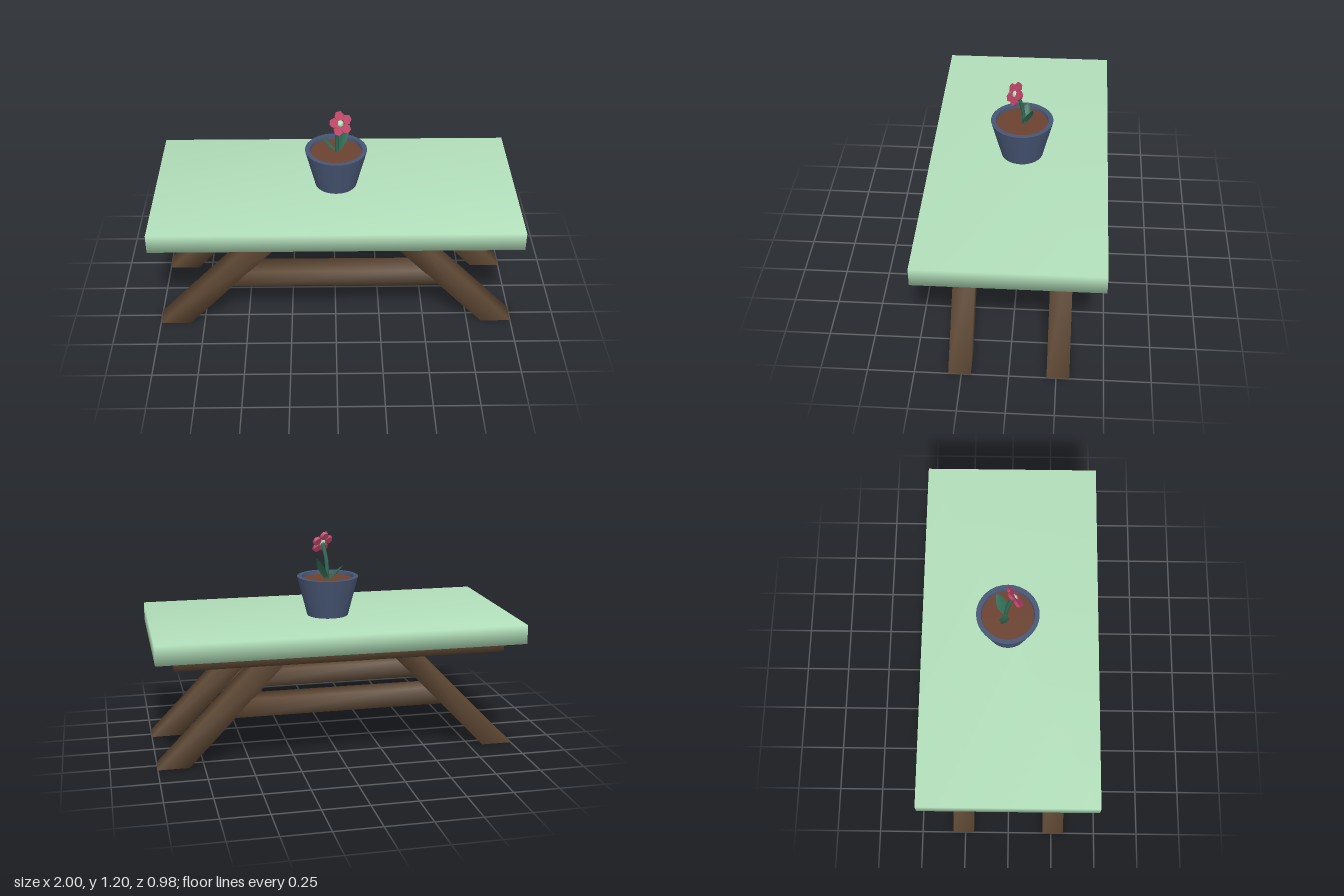
import * as THREE from 'three';
import { mergeVertices } from 'three/addons/utils/BufferGeometryUtils.js';

const mat = (name, color, side = THREE.FrontSide) => {
  const m = new THREE.MeshStandardMaterial({ color, side });
  m.name = name;
  return m;
};

// Box with separate x ranges at its bottom and top, shaded smoothly over shared corners
function slantedBox(bottomX, topX, [y0, y1], [z0, z1]) {
  let g = new THREE.BoxGeometry(1, 1, 1);
  const p = g.attributes.position;
  for (let i = 0; i < p.count; i++) {
    const range = p.getY(i) > 0 ? topX : bottomX;
    p.setXYZ(i, range[p.getX(i) > 0 ? 1 : 0], p.getY(i) > 0 ? y1 : y0, p.getZ(i) > 0 ? z1 : z0);
  }
  g.deleteAttribute('normal');
  g.deleteAttribute('uv');
  g = mergeVertices(g);
  g.computeVertexNormals();
  return g;
}

// Folded leaf: rows of edge, rib, edge between base and tip
function leafGeometry(base, tip, across, halfWidth) {
  const axis = tip.clone().sub(base);
  const normal = axis.clone().cross(across).normalize();
  const widths = [0.3, 0.85, 1, 0.7, 0.05];
  const pos = [], index = [];
  widths.forEach((w, i) => {
    const t = i / (widths.length - 1);
    const mid = base.clone().addScaledVector(axis, t);
    for (const s of [-1, 0, 1]) {
      const q = mid.clone().addScaledVector(across, s * w * halfWidth);
      q.addScaledVector(normal, s === 0 ? -0.01 * Math.sin(Math.PI * t) : 0);
      pos.push(q.x, q.y, q.z);
    }
    if (i === 0) return;
    for (const k of [0, 1]) {
      const a = (i - 1) * 3 + k, b = a + 3;
      index.push(a, a + 1, b, a + 1, b + 1, b);
    }
  });
  const g = new THREE.BufferGeometry();
  g.setAttribute('position', new THREE.Float32BufferAttribute(pos, 3));
  g.setIndex(index);
  g.computeVertexNormals();
  return g;
}

export function createModel() {
  const model = new THREE.Group();
  model.name = 'tableWithFlowerPot';
  const top = mat('paleGreen', 0xb2dfba);
  const wood = mat('darkWood', 0x5c4632);
  const clay = mat('slateBlue', 0x475674);
  const earth = mat('soilBrown', 0x6b4130);
  const pink = mat('petalPink', 0xc04468);
  const green = mat('leafGreen', 0x2f6b54, THREE.DoubleSide);
  const add = (name, geometry, material, parent = model) => {
    const m = new THREE.Mesh(geometry, material);
    m.name = name;
    parent.add(m);
    return m;
  };

  // Table top and the board under it
  add('tabletop', slantedBox([-1, 1], [-1, 1], [0.63, 0.735], [-0.49, 0.49]), top);
  add('underBoard', slantedBox([-0.9, 0.9], [-0.9, 0.9], [0.57, 0.63], [-0.405, 0.405]), wood);

  // Two trestles: splayed legs joined by a crossbar
  for (const [side, z] of [['front', [0.2, 0.32]], ['back', [-0.32, -0.2]]]) {
    add(side + 'RightLeg', slantedBox([-1, -0.83], [-0.45, -0.285], [0, 0.57], z), wood);
    add(side + 'LeftLeg', slantedBox([0.83, 1], [0.285, 0.45], [0, 0.57], z), wood);
    add(side + 'Crossbar', slantedBox([-0.582, 0.582], [-0.485, 0.485], [0.265, 0.365], z), wood);
  }

  // Tapered pot; repeated points keep the rim edges sharp
  const plant = new THREE.Group();
  plant.name = 'pottedFlower';
  plant.position.set(0.005, 0, -0.013);
  model.add(plant);
  const profile = [[0, 0.736], [0.115, 0.736], [0.115, 0.736], [0.171, 0.955], [0.171, 0.955],
    [0.145, 0.955], [0.145, 0.955], [0.14, 0.93]].map(([r, y]) => new THREE.Vector2(r, y));
  add('pot', new THREE.LatheGeometry(profile, 32), clay, plant);
  add('soil', new THREE.CircleGeometry(0.143, 32).rotateX(-Math.PI / 2).translate(0, 0.937, 0), earth, plant);

  // Bent stem
  const V = (x, y, z) => new THREE.Vector3(x, y, z);
  const path = new THREE.CatmullRomCurve3([V(0.006, 0.93, -0.012), V(0.006, 1.03, -0.003), V(0.014, 1.09, 0.012), V(0.022, 1.135, 0.03)]);
  add('stem', new THREE.TubeGeometry(path, 8, 0.011, 6), green, plant);

  // Leaves
  add('leftLeaf', leafGeometry(V(0.008, 0.935, -0.01), V(0.073, 1.067, -0.06), V(0.6, 0, 0.8), 0.03), green, plant);
  add('rightLeaf', leafGeometry(V(-0.005, 0.94, -0.01), V(-0.08, 1.015, -0.03), V(-0.2, 0.15, 0.97).normalize(), 0.025), green, plant);

  // Flower head facing forward, up and to its left
  const flower = new THREE.Group();
  flower.name = 'flower';
  flower.position.set(0.023, 1.137, 0.036);
  flower.rotation.set(-0.48, 0.5, 0, 'YXZ');
  plant.add(flower);
  for (let i = 0; i < 5; i++) {
    const a = Math.PI / 2 + i * Math.PI * 2 / 5;
    const petal = add('petal', new THREE.CylinderGeometry(0.028, 0.024, 0.016, 6).rotateX(Math.PI / 2), pink, flower);
    petal.position.set(0.042 * Math.cos(a), 0.042 * Math.sin(a), 0);
    petal.rotation.z = a;
  }
  add('flowerCentre', new THREE.SphereGeometry(0.019, 10, 8).scale(1, 1, 0.75), top, flower);
  return model;
}
